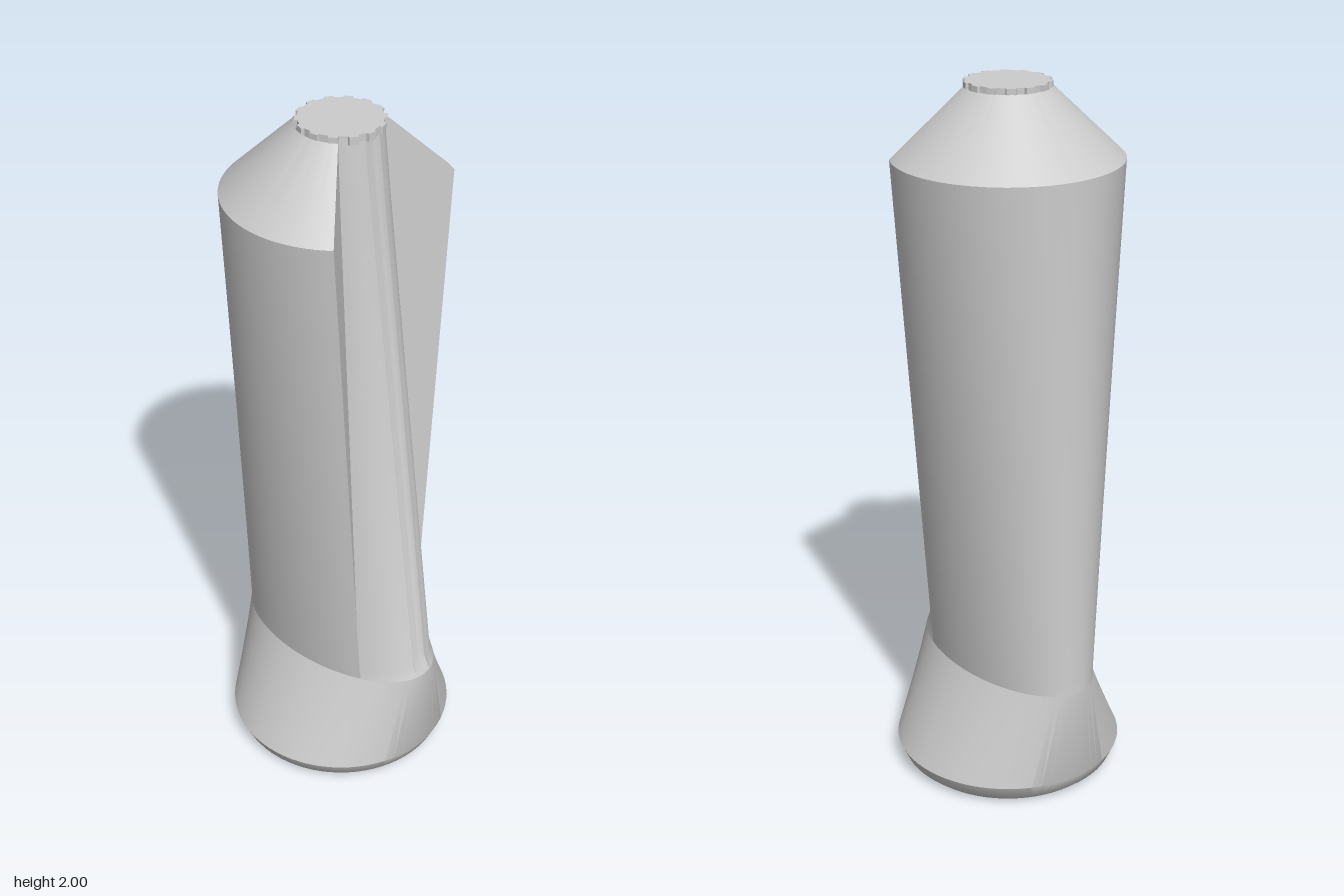
import * as THREE from 'three';
import { toCreasedNormals } from 'three/addons/utils/BufferGeometryUtils.js';

const material = new THREE.MeshStandardMaterial({ color: 0xcccccc, side: THREE.DoubleSide });
const deg = Math.PI / 180;
const RIGHT_CUT = 142 * deg; // cut edge on the -x side of the front
const LEFT_CUT = 29 * deg; // cut edge on the +x side of the front

// Joins a stack of equally long point rows into a skin
function loft(name, rows, crease = 0.5) {
  const n = rows[0].length, index = [];
  for (let r = 0; r < rows.length - 1; r++) {
    for (let i = 0; i < n - 1; i++) {
      const a = r * n + i, b = a + n;
      index.push(a, b, a + 1, a + 1, b, b + 1);
    }
  }
  const geometry = new THREE.BufferGeometry();
  geometry.setAttribute('position', new THREE.Float32BufferAttribute(rows.flat(2), 3));
  geometry.setIndex(index);
  const mesh = new THREE.Mesh(toCreasedNormals(geometry, crease), material);
  mesh.name = name;
  return mesh;
}

// Elliptical arc at height y with half-widths a (x) and b (z)
function arc([y, a, b], t0, t1, n) {
  return Array.from({ length: n + 1 }, (_, i) => {
    const t = t0 + (t1 - t0) * i / n;
    return [a * Math.cos(t), y, b * Math.sin(t)];
  });
}

// Sections of the front column: height, half-width x, half-width z
const columnSections = [
  [0.335, 0.18, 0.325], [0.37, 0.177, 0.308], [1.8, 0.118, 0.13], [2, 0.11, 0.106],
];
const bodySections = [
  [0.335, 0.18, 0.325], [0.37, 0.183, 0.322], [1.8, 0.31, 0.31], [1.985, 0.116, 0.116],
];

// Column row with a rounded groove running down its front
function columnRow([y, a, b]) {
  const w = 0.03, depth = 0.022;
  const tw = Math.acos(w / a);
  const left = arc([y, a, b], LEFT_CUT, tw, 14);
  const right = arc([y, a, b], Math.PI - tw, RIGHT_CUT, 14);
  const groove = Array.from({ length: 11 }, (_, i) => {
    const x = w * Math.cos(Math.PI * i / 10);
    const z = b * Math.sqrt(1 - (x / a) ** 2);
    return [x, y, z - depth * Math.sqrt(Math.max(0, 1 - (x / w) ** 2))];
  });
  return [...left, ...groove.slice(1, -1), ...right];
}

// Flat side wall between the body's cut edge and the column
function cutWall(name, t) {
  const point = ([y, a, b]) => [a * Math.cos(t), y, b * Math.sin(t)];
  return loft(name, bodySections.map((s, i) => [point(s), point(columnSections[i])]), 0.2);
}

export function createModel() {
  const model = new THREE.Group();

  // Round foot that flares down from a narrow oval waist
  const footSections = [
    [0, 0, 0], [0, 0.285, 0.285], [0.02, 0.308, 0.308], [0.06, 0.326, 0.326],
    [0.335, 0.18, 0.325], [0.335, 0, 0],
  ];
  model.add(loft('foot', footSections.map((s) => arc(s, 0, Math.PI * 2, 72))));

  // Main body wrapping the back and sides, with its conical shoulder
  model.add(loft('body', bodySections.map((s) => arc(s, RIGHT_CUT, LEFT_CUT + Math.PI * 2, 64))));

  // Walls of the front opening
  model.add(cutWall('rightCutWall', RIGHT_CUT), cutWall('leftCutWall', LEFT_CUT));

  // Leaning grooved column
  model.add(loft('column', columnSections.map(columnRow)));

  // Shallow toothed cap
  const teeth = 14, outline = [];
  for (let i = 0; i < teeth; i++) {
    [[0, 0.117], [0.45, 0.117], [0.5, 0.109], [0.95, 0.109]].forEach(([f, r]) => {
      const t = (i + f) / teeth * Math.PI * 2;
      outline.push(new THREE.Vector2(r * Math.cos(t), r * Math.sin(t)));
    });
  }
  const capGeometry = new THREE.ExtrudeGeometry(new THREE.Shape(outline), { depth: 0.022, bevelEnabled: false });
  capGeometry.rotateX(-Math.PI / 2).translate(0, 1.978, 0);
  const cap = new THREE.Mesh(capGeometry, material);
  cap.name = 'toothedCap';
  model.add(cap);

  return model;
}
